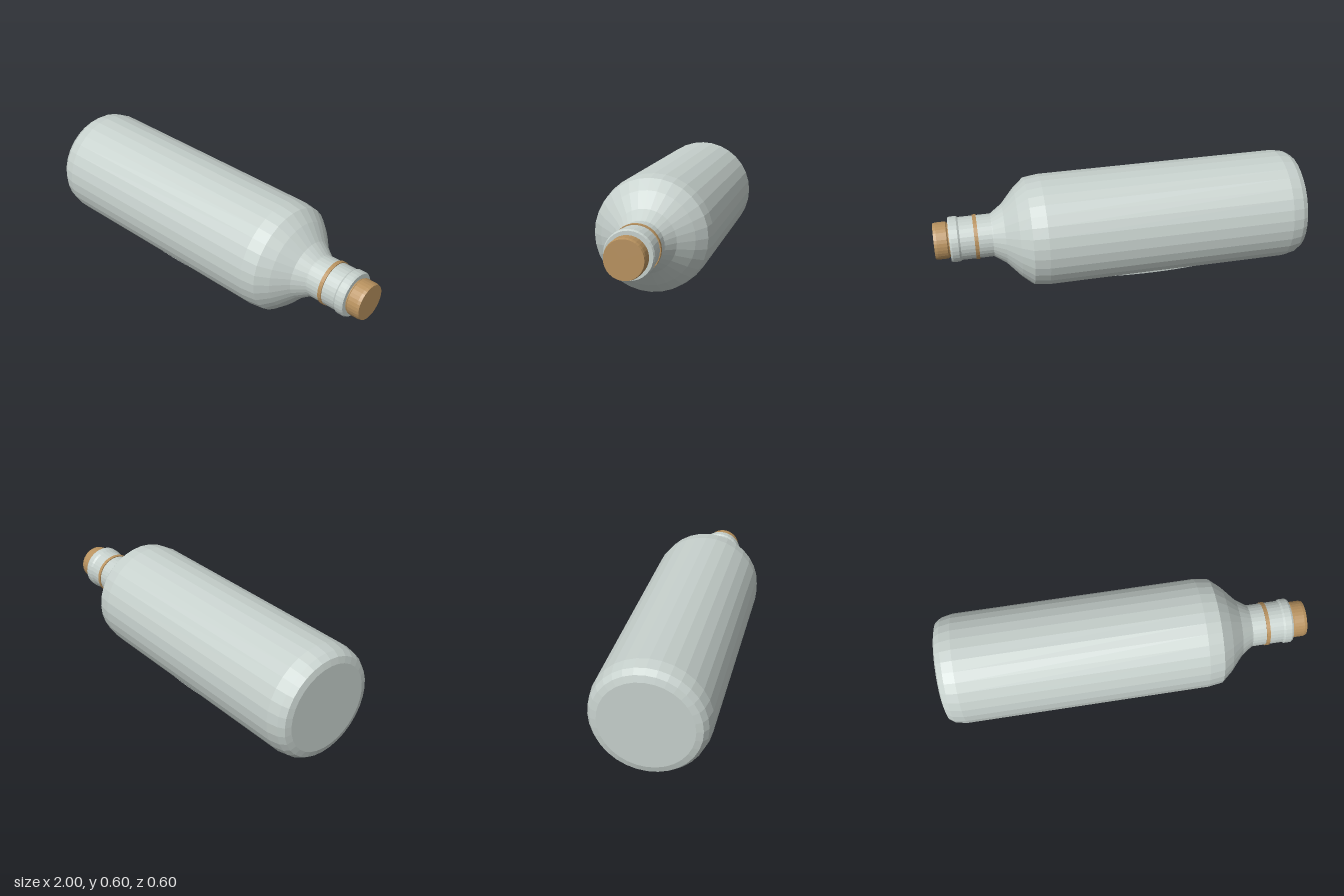
import * as THREE from 'three';

const SIDES = 32;
const AXIS_Y = 0.3; // height of the bottle's long axis

function material(name, color) {
  const m = new THREE.MeshStandardMaterial({ color, flatShading: true, side: THREE.DoubleSide });
  m.name = name;
  return m;
}

export function createModel() {
  const group = new THREE.Group();
  group.name = 'corkedBottle';
  const glass = material('paleGreyGlass', 0xc6d0cc);
  const cork = material('corkBrown', 0xb8925f);

  // Turn a profile of [x, radius] pairs about the long axis
  function turned(name, profile, mat) {
    const points = profile.map(([x, r]) => new THREE.Vector2(r, x));
    const geometry = new THREE.LatheGeometry(points, SIDES);
    geometry.rotateZ(-Math.PI / 2);
    const mesh = new THREE.Mesh(geometry, mat);
    mesh.name = name;
    mesh.position.y = AXIS_Y;
    group.add(mesh);
  }

  // Body with rounded base and sloping shoulder
  turned('body', [
    [-1, 0], [-1, 0.235], [-0.99, 0.268], [-0.96, 0.288], [-0.9, 0.3],
    [0.42, 0.3], [0.5, 0.289], [0.56, 0.238], [0.63, 0.16], [0.69, 0.118],
  ], glass);

  // Neck
  turned('neck', [[0.69, 0.118], [0.695, 0.115], [0.865, 0.115]], glass);

  // Rolled lip closing onto the cork
  turned('lip', [
    [0.865, 0.115], [0.875, 0.122], [0.91, 0.122], [0.92, 0.116], [0.92, 0.09],
  ], glass);

  // Thin band round the neck
  turned('neckBand', [
    [0.77, 0.113], [0.77, 0.12], [0.79, 0.12], [0.79, 0.113],
  ], cork);

  // Stopper with a slight bevel at its ends
  turned('stopper', [
    [0.86, 0], [0.86, 0.09], [0.925, 0.092], [0.932, 0.099], [0.985, 0.099], [1, 0.095], [1, 0],
  ], cork);

  // Flat oval floor whose long edges just break through the sides
  const oval = new THREE.CylinderGeometry(1, 1, 0.016, 64);
  oval.scale(0.68, 1, 0.191);
  const floor = new THREE.Mesh(oval, glass);
  floor.name = 'ovalFloor';
  floor.position.set(-0.16, 0.069, 0);
  group.add(floor);

  return group;
}
